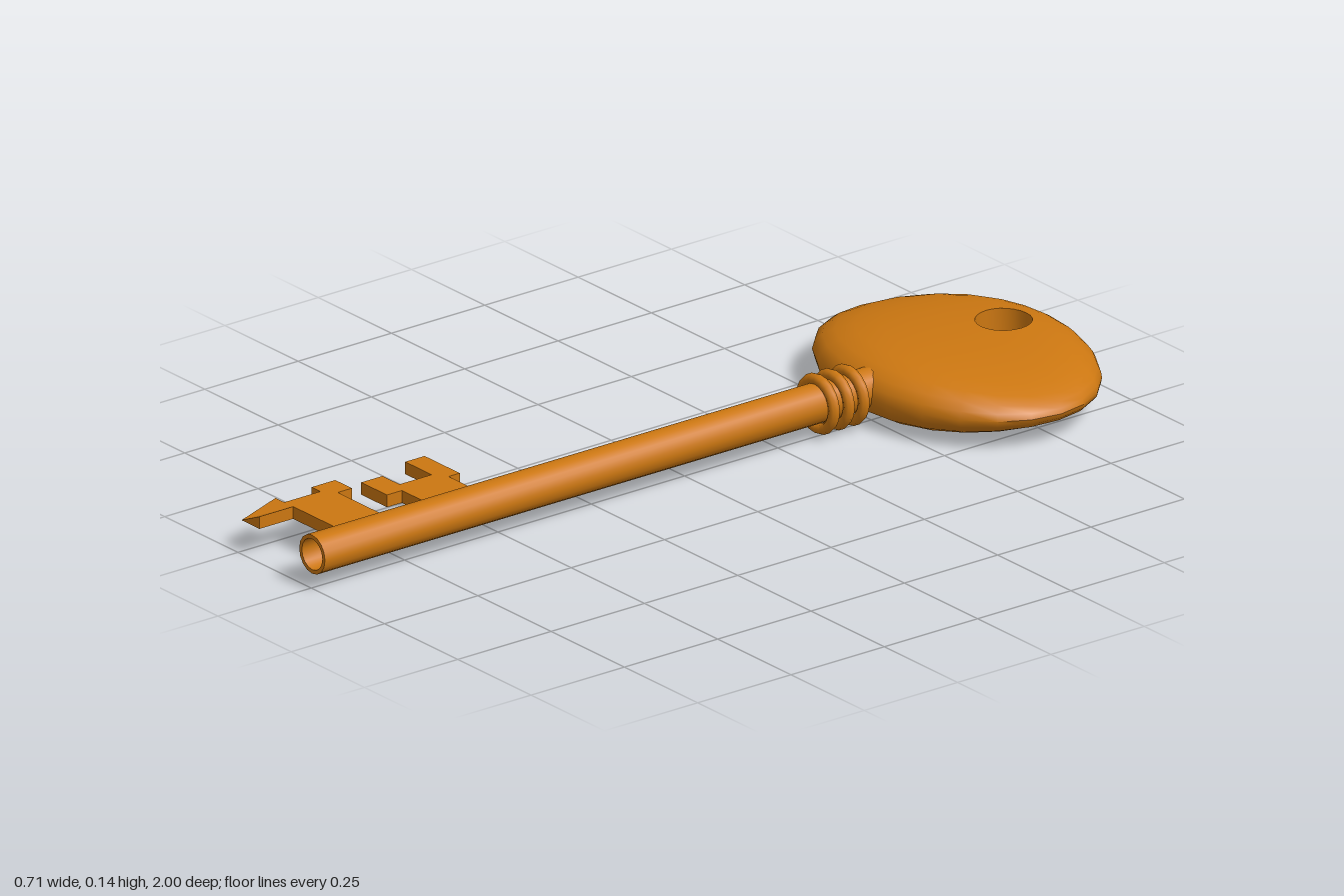
import * as THREE from 'three';
import { toCreasedNormals } from 'three/addons/utils/BufferGeometryUtils.js';

const AXIS_X = 0.003, AXIS_Y = 0.079;

// Lens-shaped handle, swept in rings from the hole to the rim and back underneath
function bowGeometry() {
  const cz = -0.73, rx = 0.356, rz = 0.27, holeZ = -0.855, holeR = 0.061, seg = 24;
  const steps = [0, 0.2, 0.4, 0.58, 0.74, 0.86, 0.94, 0.985, 1];
  const rows = [...steps.map(t => [t, 1]), ...steps.slice(0, -1).reverse().map(t => [t, -1])];
  const pos = [], index = [];
  for (const [t, side] of rows) {
    for (let i = 0; i < seg; i++) {
      const a = (i / seg) * Math.PI * 2;
      const c = Math.cos(a), s = Math.sin(a);
      const x = THREE.MathUtils.lerp(c * holeR, c * rx, t);
      const z = THREE.MathUtils.lerp(holeZ + s * holeR, cz + s * rz, t);
      const u2 = (x / rx) ** 2, w2 = ((z - cz) / rz) ** 2, r2 = u2 + w2;
      let h = 0.071 * Math.sqrt(Math.max(0, 1 - u2 - w2 * r2 * r2));
      // shallow hollow across the middle of the upper face
      if (side > 0) h *= 1 - 0.07 * Math.exp(-w2 * 6);
      pos.push(x, 0.072 + side * h, z);
    }
  }
  for (let r = 0; r < rows.length; r++) {
    const n = (r + 1) % rows.length;
    for (let i = 0; i < seg; i++) {
      const j = (i + 1) % seg;
      const a = r * seg + i, b = r * seg + j, c = n * seg + i, d = n * seg + j;
      index.push(a, b, c, b, d, c);
    }
  }
  const g = new THREE.BufferGeometry();
  g.setAttribute('position', new THREE.Float32BufferAttribute(pos, 3));
  g.setIndex(index);
  return toCreasedNormals(g, 0.7);
}

// Flat plate from an outline of [x, z] points
function plateGeometry(points, bottom, top) {
  const shape = new THREE.Shape(points.map(([x, z]) => new THREE.Vector2(x, z)));
  const g = new THREE.ExtrudeGeometry(shape, { depth: top - bottom, bevelEnabled: false });
  g.rotateX(Math.PI / 2);
  g.translate(0, top, 0);
  return g;
}

export function createModel() {
  const group = new THREE.Group();
  group.name = 'key';
  const bronze = new THREE.MeshStandardMaterial({ color: 0xcc7711 });
  bronze.name = 'bronze';
  const add = (name, geometry) => {
    const mesh = new THREE.Mesh(geometry, bronze);
    mesh.name = name;
    group.add(mesh);
    return mesh;
  };

  add('bow', bowGeometry());

  // Shaft with a bored tip
  const profile = [[0, -0.5], [0.044, -0.5], [0.044, 1], [0.035, 1], [0.035, 0.9], [0, 0.88]]
    .map(([r, z]) => new THREE.Vector2(r, z));
  const shaft = new THREE.LatheGeometry(profile, 16);
  shaft.rotateX(Math.PI / 2);
  shaft.translate(AXIS_X, AXIS_Y, 0);
  add('shaft', toCreasedNormals(shaft, 0.7));

  // Collar rings
  for (const z of [-0.355, -0.395, -0.435]) {
    add('collarRing', new THREE.TorusGeometry(0.055, 0.0125, 8, 20)).position.set(AXIS_X, 0.076, z);
  }

  // Bits on the side of the shaft
  const bottom = 0.065, top = 0.093;
  add('innerBit', plateGeometry([
    [-0.02, 0.5], [-0.055, 0.5], [-0.06, 0.53], [-0.13, 0.53], [-0.13, 0.5], [-0.25, 0.5],
    [-0.25, 0.552], [-0.16, 0.552], [-0.16, 0.638], [-0.218, 0.638], [-0.218, 0.695],
    [-0.13, 0.695], [-0.13, 0.655], [-0.06, 0.655], [-0.055, 0.695], [-0.02, 0.695],
  ], bottom, top));
  add('outerBit', plateGeometry([
    [-0.02, 0.73], [-0.04, 0.74], [-0.055, 0.768], [-0.205, 0.768], [-0.205, 0.73], [-0.262, 0.73],
    [-0.262, 0.793], [-0.232, 0.793], [-0.232, 0.89], [-0.055, 0.89], [-0.04, 0.915], [-0.02, 0.92],
  ], bottom, top));

  // End tooth, its outer front corner worn down to a point
  const tooth = new THREE.BoxGeometry(0.06, top - bottom, 0.09);
  const p = tooth.attributes.position;
  for (let i = 0; i < p.count; i++) {
    if (p.getX(i) < 0 && p.getY(i) > 0 && p.getZ(i) > 0) p.setY(i, (bottom - top) / 2 + 0.001);
  }
  tooth.translate(-0.232, (bottom + top) / 2, 0.935);
  add('endTooth', toCreasedNormals(tooth, 0.3));

  return group;
}
